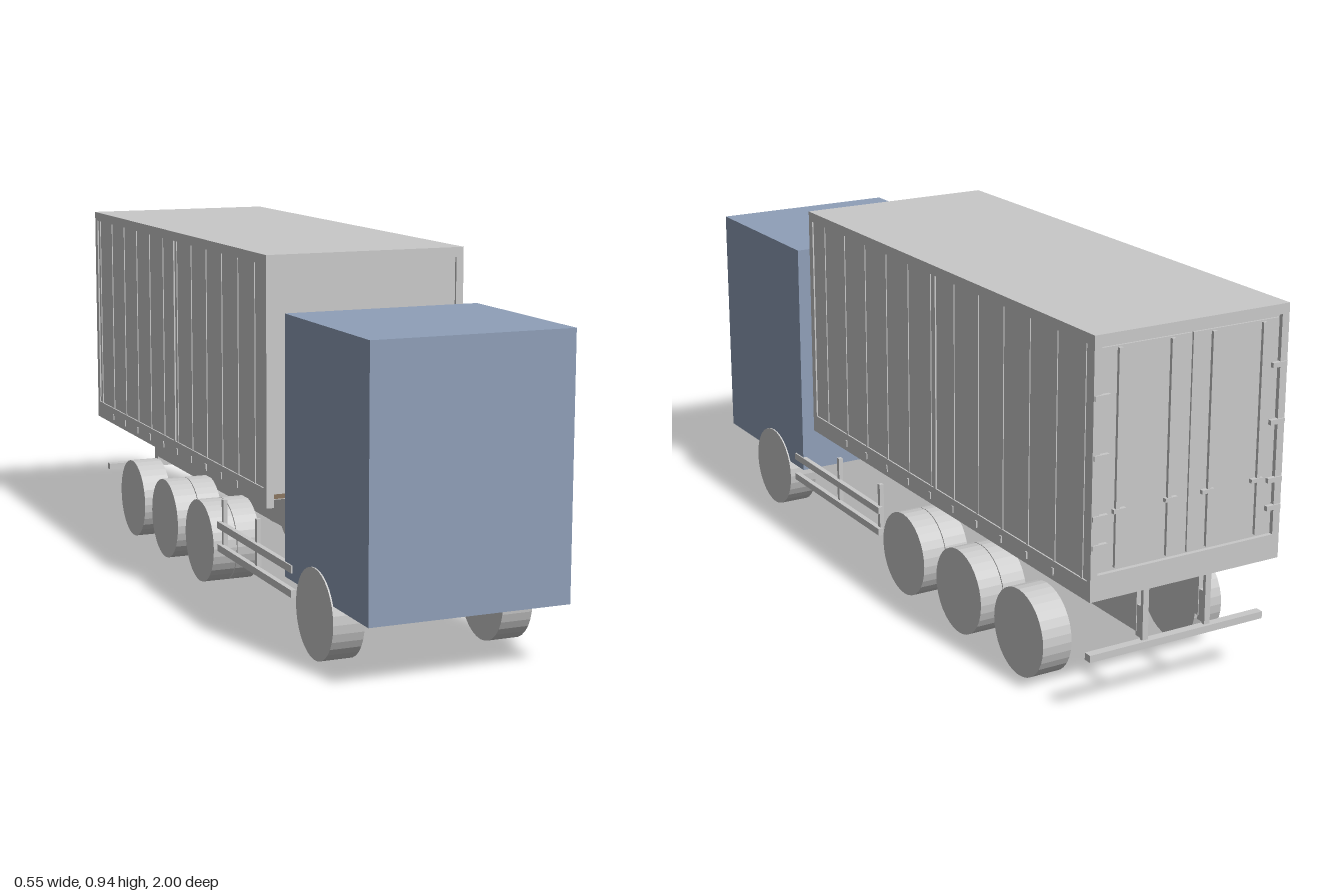
import * as THREE from 'three';

export function createModel() {
  const truck = new THREE.Group();
  truck.name = 'boxTruck';
  const mat = (name, color) => {
    const m = new THREE.MeshStandardMaterial({ color });
    m.name = name;
    return m;
  };
  const grey = mat('light grey', 0xc9c9c9);
  const blue = mat('cab blue', 0x8f9fb8);
  const brown = mat('floor brown', 0x8a7660);

  // Box given by its limits on each axis
  function box(name, material, x0, x1, y0, y1, z0, z1, parent = truck) {
    const mesh = new THREE.Mesh(new THREE.BoxGeometry(x1 - x0, y1 - y0, z1 - z0), material);
    mesh.position.set((x0 + x1) / 2, (y0 + y1) / 2, (z0 + z1) / 2);
    mesh.name = name;
    parent.add(mesh);
    return mesh;
  }
  // Same box on both sides of the truck
  function pair(name, material, x0, x1, ...rest) {
    box(name + 'Left', material, x0, x1, ...rest);
    box(name + 'Right', material, -x1, -x0, ...rest);
  }

  // Cab
  box('cab', blue, -0.26, 0.26, 0.16, 0.813, 0.508, 1);

  // Cargo body: core, floor and frame
  box('cargoCore', grey, -0.266, 0.266, 0.345, 0.93, -0.985, 0.405);
  box('cargoFloor', brown, -0.25, 0.25, 0.332, 0.3448, -0.98, 0.4);
  box('roof', grey, -0.27, 0.27, 0.92, 0.945, -0.996, 0.412);
  pair('bottomRail', grey, 0.25, 0.27, 0.312, 0.36, -0.98, 0.392);
  pair('frontPost', grey, 0.25, 0.27, 0.312, 0.92, 0.392, 0.412);
  pair('rearPost', grey, 0.25, 0.27, 0.375, 0.92, -0.996, -0.975);
  pair('middlePost', grey, 0.262, 0.27, 0.36, 0.92, -0.287, -0.275);
  box('rearSill', grey, -0.27, 0.27, 0.312, 0.375, -0.996, -0.98);

  // Floor beams, side straps and strap hooks
  for (let i = 0; i < 12; i++) {
    const z = 0.325 - i * 0.1165;
    box('floorBeam', grey, -0.25, 0.25, 0.314, 0.332, z - 0.009, z + 0.009);
    pair('sideStrap', grey, 0.264, 0.2685, 0.36, 0.92, z - 0.004, z + 0.004);
    if (i > 0 && i < 11) pair('strapHook', grey, 0.268, 0.273, 0.325, 0.343, z - 0.004, z + 0.004);
  }

  // Rear doors: leaves, lock bars, handles and hinges
  pair('door', grey, 0.002, 0.246, 0.379, 0.912, -0.99, -0.984);
  for (const x of [0.057, 0.2]) {
    pair('lockBar', grey, x - 0.005, x + 0.005, 0.385, 0.908, -0.998, -0.989);
    pair('lockHandle', grey, x - 0.022, x + 0.012, 0.518, 0.528, -1, -0.99);
  }
  for (const y of [0.445, 0.515, 0.66, 0.8]) {
    pair('hinge', grey, 0.227, 0.268, y - 0.006, y + 0.006, -1, -0.988);
  }

  // Chassis rails, stepped down ahead of the cargo body
  const profile = new THREE.Shape([
    [-0.94, 0.182], [0.53, 0.182], [0.53, 0.25], [0.4, 0.25], [0.4, 0.314], [-0.94, 0.314],
  ].map(([z, y]) => new THREE.Vector2(-z, y)));
  const railGeo = new THREE.ExtrudeGeometry(profile, { depth: 0.02, bevelEnabled: false });
  railGeo.translate(0, 0, -0.01).rotateY(Math.PI / 2);
  for (const s of [1, -1]) {
    const rail = new THREE.Mesh(railGeo, grey);
    rail.name = s > 0 ? 'chassisRailLeft' : 'chassisRailRight';
    rail.position.x = s * 0.09;
    truck.add(rail);
  }

  // Side guards between the wheels
  for (const y of [0.118, 0.18]) {
    pair('sideGuardBar', grey, 0.25, 0.264, y, y + 0.019, 0.04, 0.555);
  }
  for (const z of [0.055, 0.297]) {
    pair('sideGuardPost', grey, 0.242, 0.254, 0.135, 0.26, z - 0.006, z + 0.006);
  }

  // Rear underrun bar on two hangers
  box('rearBar', grey, -0.25, 0.25, 0.148, 0.166, -0.972, -0.95);
  pair('rearHanger', grey, 0.082, 0.098, 0.16, 0.314, -0.964, -0.954);
  pair('rearBracket', grey, 0.082, 0.098, 0.17, 0.25, -0.954, -0.936);

  // Wheels: single front and last axle, double on the two between
  const wheelMat = grey.clone();
  wheelMat.name = 'wheel grey';
  wheelMat.flatShading = true;
  function wheel(name, x0, x1, z) {
    const geo = new THREE.CylinderGeometry(0.113, 0.113, x1 - x0, 32);
    geo.rotateZ(Math.PI / 2);
    for (const s of [1, -1]) {
      const mesh = new THREE.Mesh(geo, wheelMat);
      mesh.name = name + (s > 0 ? 'Left' : 'Right');
      mesh.position.set(s * (x0 + x1) / 2, 0.115, z);
      truck.add(mesh);
    }
  }
  wheel('frontWheel', 0.183, 0.264, 0.7);
  wheel('rearWheel', 0.183, 0.264, -0.68);
  for (const z of [-0.1, -0.39]) {
    wheel('outerWheel', 0.198, 0.264, z);
    wheel('innerWheel', 0.13, 0.196, z);
  }

  // Stand on the ground
  truck.children.forEach((part) => { part.position.y -= 0.002; });
  return truck;
}
